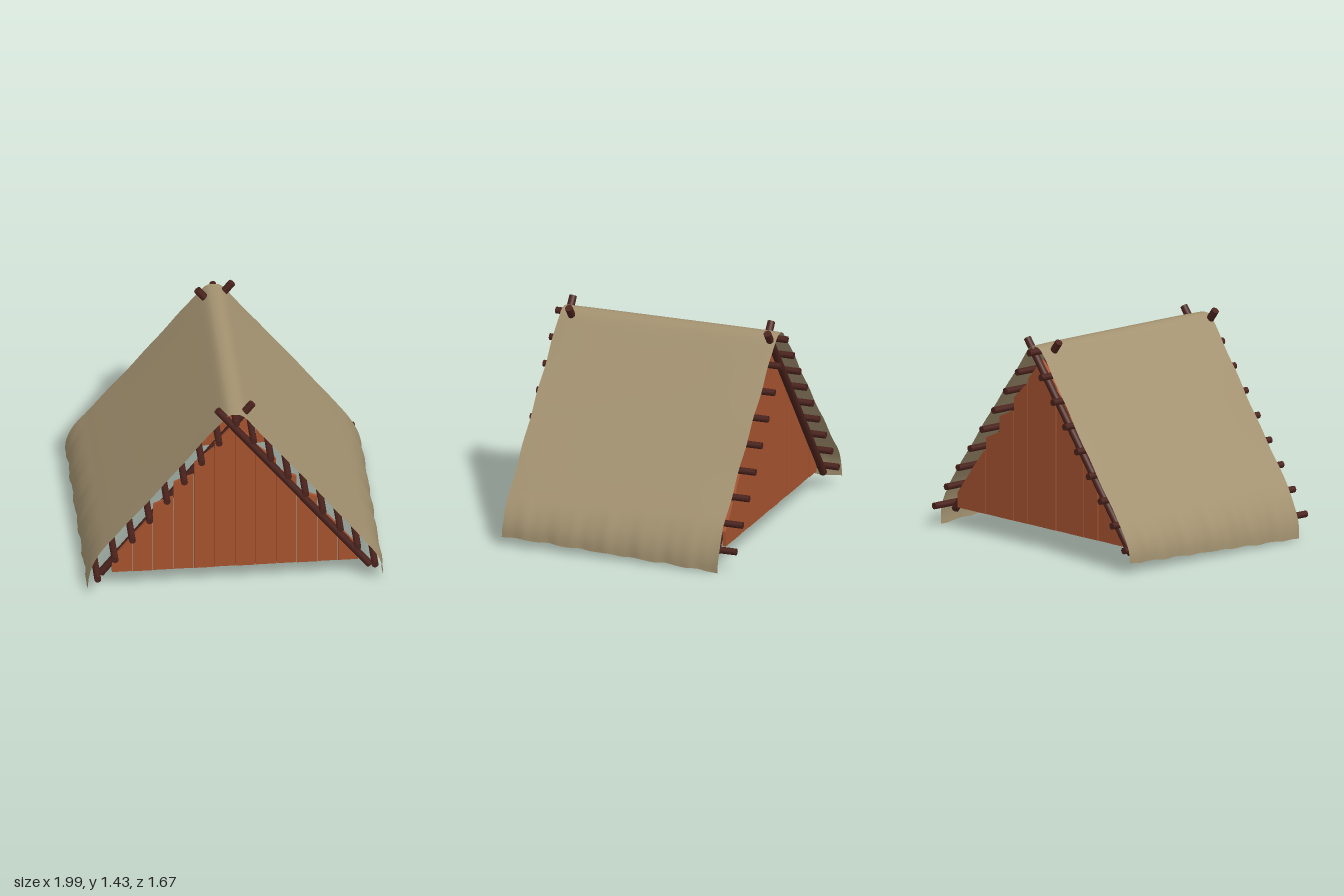
import * as THREE from 'three';

const wood = new THREE.MeshStandardMaterial({ color: 0x4a221c });
const plankMat = new THREE.MeshStandardMaterial({ color: 0xa5532f });
const clothMat = new THREE.MeshStandardMaterial({ color: 0xa39270, side: THREE.DoubleSide });

// Round pole between two points
function pole(name, a, b, radius) {
  const from = new THREE.Vector3(...a), to = new THREE.Vector3(...b);
  const dir = to.clone().sub(from);
  const mesh = new THREE.Mesh(new THREE.CylinderGeometry(radius, radius, dir.length(), 12), wood);
  mesh.position.copy(from).add(to).multiplyScalar(0.5);
  mesh.quaternion.setFromUnitVectors(new THREE.Vector3(0, 1, 0), dir.normalize());
  mesh.name = name;
  return mesh;
}

// Wall of upright planks with stepped, slanted tops
function gable(name, z) {
  const group = new THREE.Group();
  group.name = name;
  const w = 0.138, thick = 0.024, bottom = 0.145, gap = 0.002;
  // top heights at the inner and outer edge, from the middle outwards
  const tops = [[1.29, 1.14], [1.11, 0.99], [0.9, 0.84], [0.73, 0.67], [0.59, 0.43], [0.42, 0.25]];
  for (const side of [-1, 1]) {
    tops.forEach(([inner, outer], i) => {
      const x0 = side * (i * w + gap), x1 = side * ((i + 1) * w - gap);
      const shape = new THREE.Shape();
      shape.moveTo(x0, bottom);
      shape.lineTo(x1, bottom);
      shape.lineTo(x1, outer);
      shape.lineTo(x0, inner);
      shape.closePath();
      const geo = new THREE.ExtrudeGeometry(shape, { depth: thick, bevelEnabled: false });
      const mesh = new THREE.Mesh(geo, plankMat);
      mesh.position.z = z - thick / 2 + 0.002 * Math.sin(i * 2.3 + side);
      mesh.name = 'plank';
      group.add(mesh);
    });
  }
  return group;
}

// Cloth sheet draped over the ridge, lying slightly askew
function clothCover() {
  const half = [[0.04, 1.392], [0.075, 1.36], [0.12, 1.305], [0.3, 1.075], [0.6, 0.692],
    [0.84, 0.386], [0.915, 0.285], [0.965, 0.19], [0.987, 0.11], [0.99, 0.045]];
  const points = [
    ...half.map(([x, y]) => new THREE.Vector3(-x, y, 0)).reverse(),
    new THREE.Vector3(0, 1.397, 0),
    ...half.map(([x, y]) => new THREE.Vector3(x, y, 0)),
  ];
  const curve = new THREE.CatmullRomCurve3(points, false, 'centripetal');
  const nu = 110, nv = 60;
  const geo = new THREE.PlaneGeometry(1, 1, nu, nv);
  const pos = geo.attributes.position;
  const rows = curve.getSpacedPoints(nu);
  for (let j = 0; j <= nv; j++) {
    const t = (j / nv) * 2 - 1;
    for (let i = 0; i <= nu; i++) {
      const p = rows[i], side = Math.sign(p.x);
      const hem = Math.max(0, 1 - p.y / 0.35); // 0 on the slope, 1 at the lower edge
      const edge = Math.pow(Math.abs(t), 6);
      const ruffle = 0.006 * hem * Math.sin(t * 17 + side) + 0.003 * hem * Math.sin(t * 41);
      const x = p.x + side * (ruffle - 0.004 * hem);
      const y = p.y + hem * (0.036 * t * side + 0.004 * Math.sin(t * 23 + side))
        - 0.004 * edge * (1 + Math.sin(p.x * 9));
      const z = 0.775 * t + 0.058 * p.x + 0.003 * edge * Math.sin(p.y * 21 + side);
      pos.setXYZ(j * (nu + 1) + i, x, y, z);
    }
  }
  geo.computeVertexNormals();
  const mesh = new THREE.Mesh(geo, clothMat);
  mesh.name = 'clothCover';
  return mesh;
}

export function createModel() {
  const model = new THREE.Group();
  model.name = 'tent';

  // Crossed rafters at each end, one on either face of the plank wall
  for (const [z, side] of [[0.757, 1], [0.693, -1], [-0.667, 1], [-0.732, -1]]) {
    model.add(pole('rafter', [-0.12 * side, 1.425, z], [0.9 * side, 0.115, z], 0.026));
  }

  // Ridge pole and the eight purlins down each slope
  for (let i = -8; i <= 8; i++) {
    const x = i * 0.1163, y = 1.355 - Math.abs(i) * 0.15;
    model.add(pole(i === 0 ? 'ridgePole' : 'purlin', [x, y, -0.83], [x, y, 0.83], 0.023));
  }

  model.add(gable('frontWall', 0.725), gable('backWall', -0.7));
  model.add(clothCover());
  return model;
}
